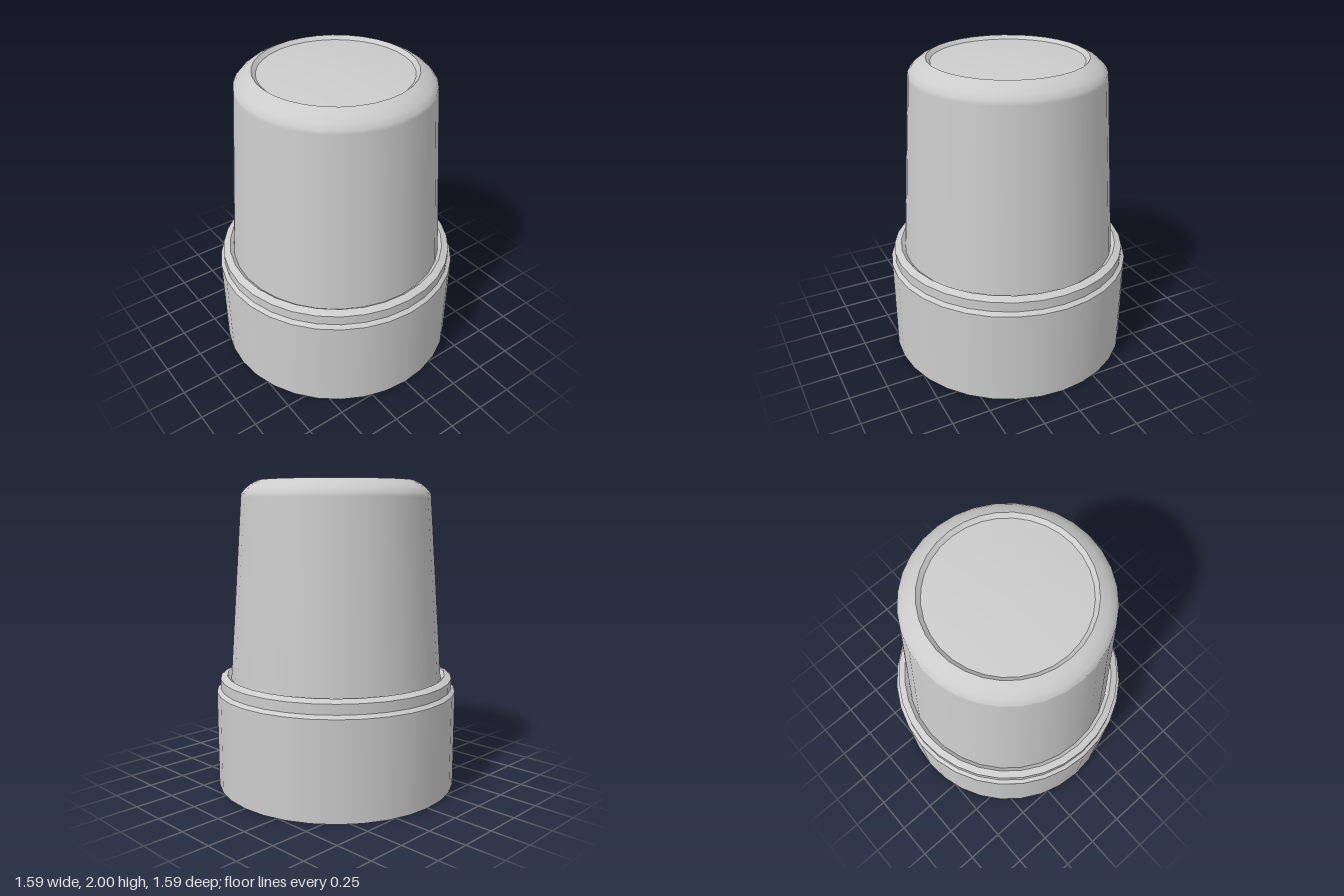
import * as THREE from 'three';

const SIDES = 32;
const material = new THREE.MeshStandardMaterial({ color: 0xcccccc });

// Each run is one smooth stretch of profile [radius, height]; edges between runs stay sharp.
function turned(name, runs) {
  const part = new THREE.Group();
  part.name = name;
  runs.forEach((run, i) => {
    const points = run.map(([r, y]) => new THREE.Vector2(r, y));
    const mesh = new THREE.Mesh(new THREE.LatheGeometry(points, SIDES), material);
    mesh.name = `${name}Surface${i + 1}`;
    part.add(mesh);
  });
  return part;
}

// Splits a profile into straight, sharp-edged bands.
const bands = (profile) => profile.slice(1).map((p, i) => [profile[i], p]);

export function createModel() {
  const model = new THREE.Group();
  model.name = 'taperedKnob';

  // Wide base with a flat underside and a chamfered shoulder
  model.add(turned('base', bands([[0, 0], [0.795, 0], [0.795, 0.635], [0.77, 0.655]])));

  // Collar with a bevelled top and a small inward groove around the body
  model.add(turned('collar', bands([[0.77, 0.655], [0.77, 0.72], [0.725, 0.74], [0.7, 0.718]])));

  // Tapered body with a rounded shoulder
  model.add(turned('body', [
    [[0.7, 0.718], [0.614, 1.89], [0.612, 1.915], [0.587, 1.945], [0.55, 1.975], [0.5, 2]],
  ]));

  // Rim sloping in to a slightly domed cap
  model.add(turned('topRim', [[[0.5, 2], [0.475, 1.977]]]));
  const dome = [];
  for (let i = 0; i <= 6; i++) {
    const t = 1 - i / 6;
    dome.push([0.475 * t, 1.977 + 0.023 * (1 - t * t)]);
  }
  model.add(turned('topCap', [dome]));

  return model;
}
